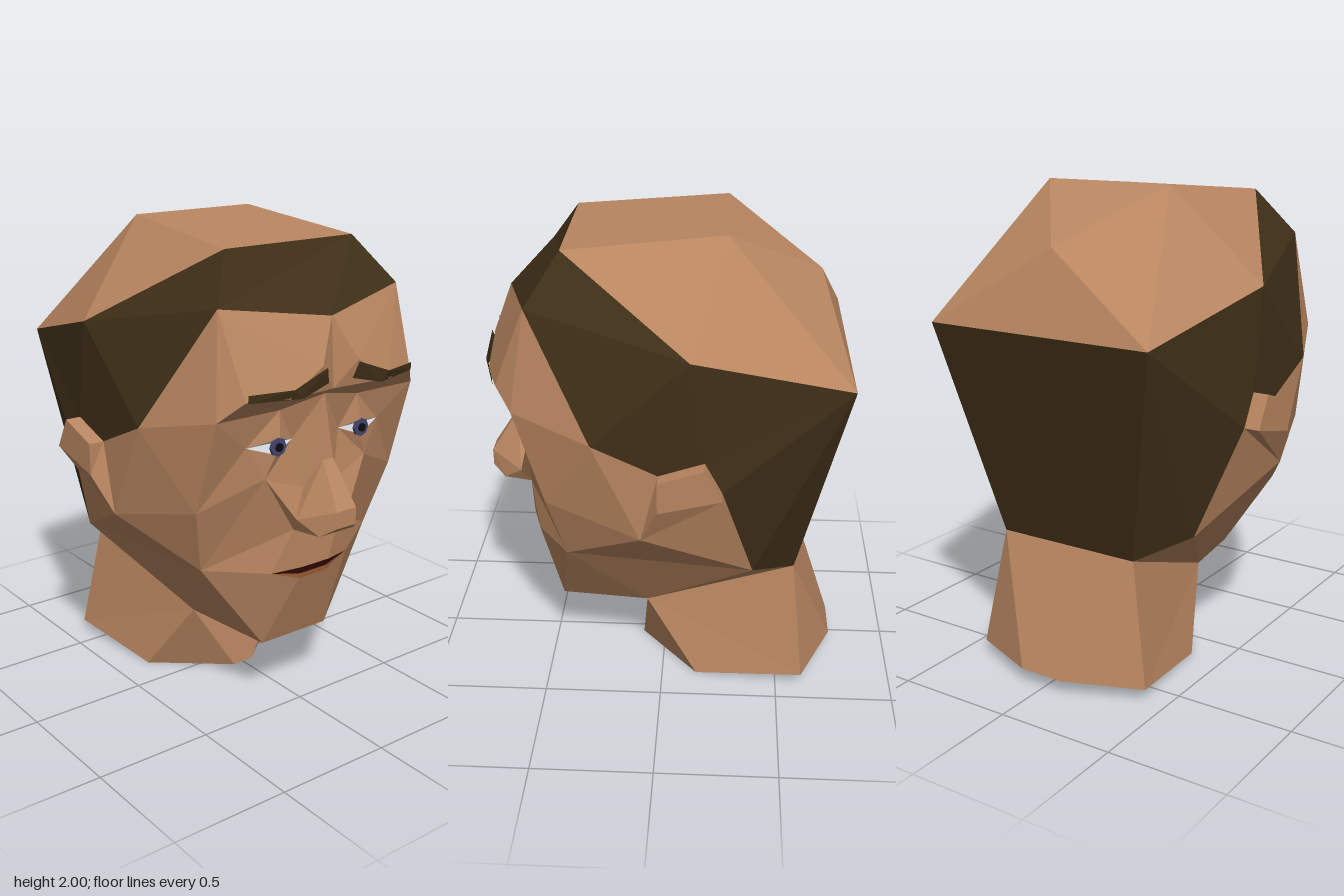
import * as THREE from 'three';

// Named corner points of the left half; a "-" before a name means its mirror image
const skull = {
  crownB: [0.29, 2.0, -0.25], crownF: [0.32, 1.94, 0.39], backTop: [0.51, 1.46, -0.75],
  backMid: [0, 1.78, -0.63], side: [0.635, 1.62, -0.12], hairMid: [0, 1.69, 0.64],
  hairCor: [0.45, 1.75, 0.52], temple: [0.635, 1.27, 0.26], burn: [0.635, 1.15, 0],
  earTop: [0.635, 1.21, -0.18], earBack: [0.635, 1.08, -0.25], jawBack: [0.49, 0.64, -0.38],
  nape: [0.32, 0.56, -0.56], cheekSide: [0.635, 0.86, 0.07], jaw: [0.44, 0.67, 0.39],
  chin: [0.17, 0.29, 0.45], throat: [0.25, 0.32, 0.07],
};
const face = {
  glabella: [0, 1.41, 0.66], browIn: [0.09, 1.52, 0.7], browMid: [0.25, 1.42, 0.705],
  browOut: [0.42, 1.42, 0.65], browEnd: [0.5, 1.34, 0.58], lid: [0.2, 1.34, 0.58],
  bridge: [0, 1.38, 0.61], eyeIn: [0.12, 1.205, 0.56], eyeOut: [0.34, 1.205, 0.55],
  eyeTop: [0.21, 1.23, 0.595], eyeLow: [0.22, 1.165, 0.585], cheek: [0.26, 1.07, 0.57],
  cheekBone: [0.51, 0.95, 0.46],
};
const noseMouth = {
  ridge: [0.025, 1.12, 0.64], noseSide: [0.08, 1.0, 0.585], tip: [0.05, 0.94, 0.755],
  tipLow: [0.05, 0.87, 0.755], base: [0.09, 0.83, 0.7], wing: [0.14, 0.89, 0.62],
  wingLow: [0.12, 0.83, 0.58], lipTop: [0.07, 0.655, 0.58], mouth: [0.2, 0.645, 0.54],
  lipIn: [0.07, 0.622, 0.565], lipLow: [0.07, 0.598, 0.56],
};
const neck = {
  neckFront: [0.05, 0, 0.1], neckBase: [0.35, 0, -0.15],
  neckSide: [0.41, 0.05, -0.61], neckBack: [0.1, 0.06, -0.75],
};
const ear = {
  rimF: [0.7, 1.15, 0], rimTop: [0.7, 1.21, -0.18], rimBack: [0.7, 1.08, -0.25],
  rimLow: [0.7, 1.02, 0],
};
const brow = {
  hairIn: [0.08, 1.515, 0.715], hairLow: [0.06, 1.45, 0.7], hairMidLow: [0.2, 1.415, 0.715],
  hairMidTop: [0.24, 1.455, 0.715], hairEndTop: [0.415, 1.45, 0.66], hairEndLow: [0.415, 1.42, 0.66],
};
const points = { ...skull, ...face, ...noseMouth, ...neck, ...ear, ...brow };

const material = (color) => new THREE.MeshStandardMaterial({ color, flatShading: true, side: THREE.DoubleSide });
const skin = material(0xb98660), hair = material(0x3f2f18), white = material(0xcfd2d8);
const iris = material(0x44446c), pupil = material(0x0c0c10);
const mouthDark = material(0x3a0c08), lip = material(0xa8643c);

function point(name, flip) {
  const minus = name[0] === '-';
  const [x, y, z] = points[minus ? name.slice(1) : name];
  return new THREE.Vector3(minus !== flip ? -x : x, y, z);
}

// Polygons are separated by commas, mirrored unless they already span the middle,
// and turned to face away from the given inner point
function patch(name, mat, polygons, inner = [0, 1, 0]) {
  const centre = new THREE.Vector3(...inner), pos = [];
  for (const polygon of polygons.split(',')) {
    const names = polygon.match(/[-a-zA-Z]+/g);
    const flips = polygon.includes('-') ? [false] : [false, true];
    for (const flip of flips) {
      const corners = names.map((n) => point(n, flip));
      for (let i = 1; i < corners.length - 1; i++) {
        let [a, b, c] = [corners[0], corners[i], corners[i + 1]];
        const normal = b.clone().sub(a).cross(c.clone().sub(a));
        const mid = a.clone().add(b).add(c).divideScalar(3).sub(centre);
        if (normal.dot(mid) < 0) [b, c] = [c, b];
        for (const v of [a, b, c]) pos.push(v.x, v.y, v.z);
      }
    }
  }
  const geometry = new THREE.BufferGeometry();
  geometry.setAttribute('position', new THREE.Float32BufferAttribute(pos, 3));
  geometry.computeVertexNormals();
  const mesh = new THREE.Mesh(geometry, mat);
  mesh.name = name;
  return mesh;
}

export function createModel() {
  const head = new THREE.Group();
  head.name = 'head';

  // Bare crown and the band of hair around it
  head.add(patch('crown', skin, `crownB crownF -crownF -crownB, crownB crownF side,
    crownB side backTop, crownB backTop backMid, crownB -crownB backMid,
    backTop -backTop backMid`));
  head.add(patch('hair', hair, `crownF hairCor hairMid -hairCor -crownF, crownF hairCor side,
    hairCor temple side, side temple burn, side burn earTop, side earTop backTop,
    earTop earBack backTop, earBack jawBack backTop, jawBack nape backTop,
    backTop -backTop -nape nape`));

  // Forehead, brow ridge and its underside
  head.add(patch('forehead', skin, `hairMid browIn glabella, hairMid hairCor browIn,
    browIn hairCor browMid, browIn browMid glabella, hairCor browOut browMid,
    hairCor browEnd browOut, hairCor temple browEnd`));
  head.add(patch('browUnderside', skin, `glabella browMid lid, glabella lid bridge,
    browMid browOut lid, browOut browEnd lid`, [0, 1.55, 0]));

  // Eye sockets, cheeks and side of the face
  head.add(patch('eyeSockets', skin, `lid browEnd eyeOut eyeTop, lid eyeTop eyeIn,
    bridge lid eyeIn, browEnd cheekBone eyeOut, eyeOut cheekBone cheek,
    eyeOut cheek eyeLow, eyeLow cheek eyeIn, eyeIn cheek noseSide, bridge eyeIn noseSide`));
  head.add(patch('cheeks', skin, `browEnd temple cheekBone, temple burn cheekSide,
    temple cheekSide cheekBone, burn earTop earBack cheekSide, cheekSide earBack jawBack,
    cheekSide jaw cheekBone, cheek cheekBone jaw, cheek jaw wingLow, noseSide cheek wing,
    wing cheek wingLow`));

  // Jaw, upper lip and chin
  head.add(patch('jaw', skin, `cheekSide jawBack jaw, jaw jawBack throat, chin jaw throat,
    throat jawBack nape, chin throat -throat -chin, wingLow jaw mouth, wingLow mouth lipTop,
    wingLow lipTop -lipTop -wingLow, mouth jaw chin, mouth chin lipLow,
    lipLow chin -chin -lipLow`));
  head.add(patch('mouthOpening', mouthDark, 'mouth lipTop lipIn, lipTop lipIn -lipIn -lipTop'));
  head.add(patch('lowerLip', lip, 'mouth lipIn lipLow, lipIn lipLow -lipLow -lipIn'));

  head.add(patch('nose', skin, `bridge ridge -ridge, ridge tip -tip -ridge, tip tipLow -tipLow -tip,
    bridge noseSide ridge, ridge noseSide wing tip, tip wing base tipLow,
    tipLow base -base -tipLow, wing wingLow base, base wingLow -wingLow -base`, [0, 1, 0.5]));

  // Ears: a thin raised plate running down into a lobe
  head.add(patch('ears', skin, `rimF rimTop rimBack rimLow, burn rimF rimTop earTop,
    earTop rimTop rimBack earBack, burn rimF rimLow cheekSide, rimLow rimBack cheekSide,
    rimBack earBack cheekSide`));

  head.add(patch('neck', skin, `throat -throat -neckFront neckFront, throat neckFront neckBase,
    throat neckBase neckSide, throat nape neckSide, nape neckSide neckBack,
    nape -nape -neckBack neckBack,
    neckFront neckBase neckSide neckBack -neckBack -neckSide -neckBase -neckFront`, [0, 0.3, -0.3]));

  head.add(patch('eyebrows', hair, `hairIn hairLow hairMidLow hairMidTop,
    hairMidTop hairMidLow hairEndLow hairEndTop`));

  // Eyes: white slit with a small iris and pupil
  head.add(patch('eyeWhites', white, 'eyeIn eyeTop eyeOut eyeLow'));
  for (const side of [1, -1]) {
    for (const [name, r, z, mat] of [['Iris', 0.038, 0.59, iris], ['Pupil', 0.018, 0.597, pupil]]) {
      const disc = new THREE.Mesh(new THREE.CylinderGeometry(r, r, 0.012, 8), mat);
      disc.rotation.x = Math.PI / 2;
      disc.position.set(side * 0.215, 1.198, z);
      disc.name = (side > 0 ? 'left' : 'right') + name;
      head.add(disc);
    }
  }
  return head;
}
